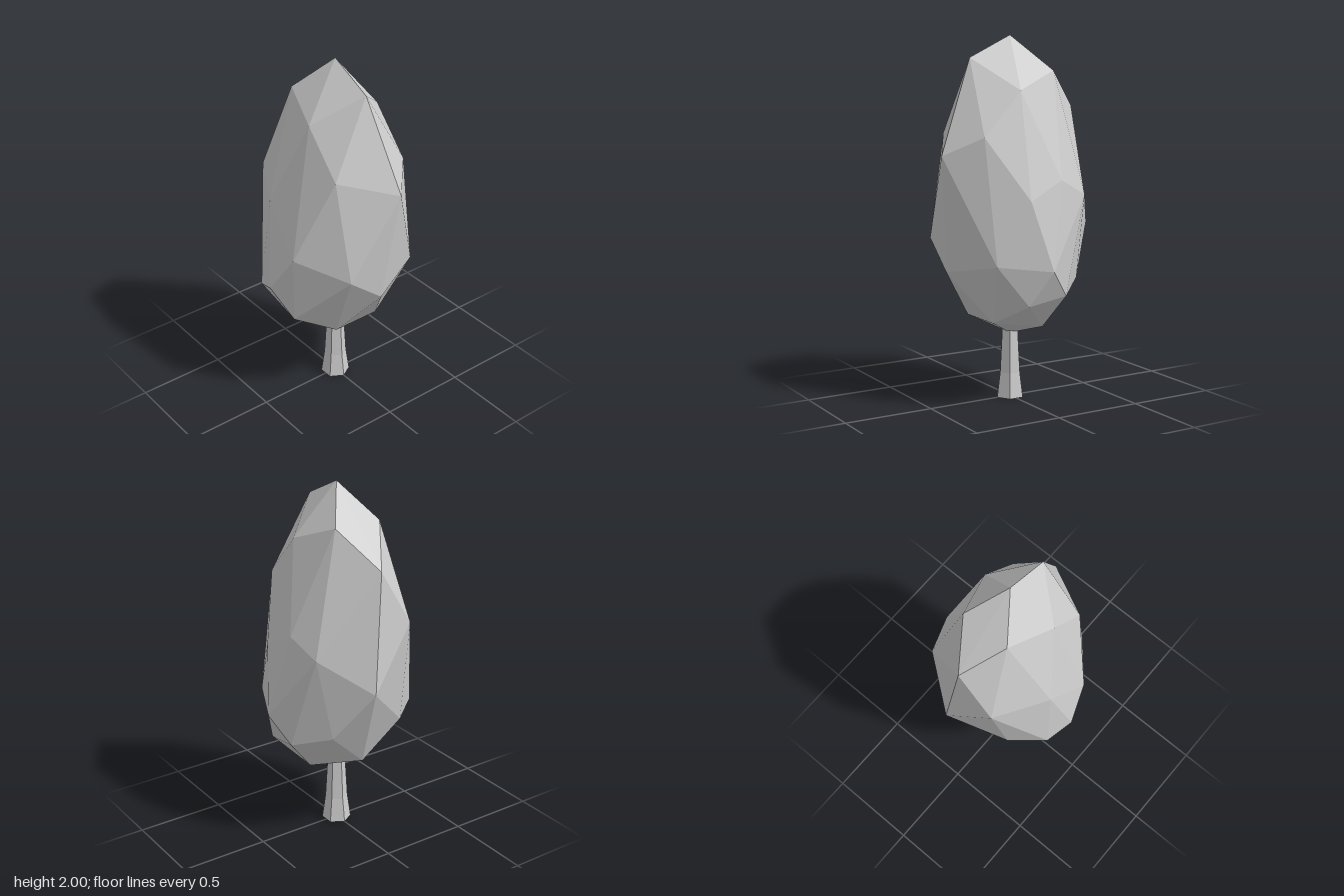
import * as THREE from 'three';
import { ConvexGeometry } from 'three/addons/geometries/ConvexGeometry.js';

// Corners on the midplane or without a twin
const single = [
  [0, 2, 0], [0.25, 1.88, 0], [-0.4, 1.61, 0],            // tip and upper ridge
  [0.46, 1.37, -0.07], [0.15, 1.0, 0.4], [-0.39, 1.29, 0.2],
  [-0.275, 1.15, -0.32], [0.1, 1.14, -0.38],              // upper belt
  [-0.46, 0.96, -0.07], [-0.15, 0.7, 0.4], [0.39, 0.9, 0.2],
  [0.27, 0.8, -0.32], [-0.12, 0.62, -0.38],               // lower belt
  [0.4, 0.74, 0], [-0.25, 0.47, 0], [0, 0.36, 0],         // lower ridge and base
];

// Corners repeated on both sides of z = 0
const mirrored = [
  [0.07, 1.71, 0.225], [-0.19, 1.81, 0.14],               // ring below the tip
  [0.29, 1.47, 0.225], [-0.1, 1.24, 0.362],               // shoulders
  [0, 0.77, 0.447],                                       // widest points
  [0.1, 0.58, 0.362], [-0.29, 0.68, 0.225],               // underside
  [0.19, 0.46, 0.14], [-0.07, 0.43, 0.225],               // ring above the base
];

export function createModel() {
  const group = new THREE.Group();
  group.name = 'tree';
  const material = new THREE.MeshStandardMaterial({ color: 0xcccccc, flatShading: true });

  // Faceted crown: hull of the irregular corners
  const corners = single.map((p) => new THREE.Vector3(...p));
  for (const [x, y, z] of mirrored) {
    corners.push(new THREE.Vector3(x, y, z), new THREE.Vector3(x, y, -z));
  }
  const crown = new THREE.Mesh(new ConvexGeometry(corners), material);
  crown.name = 'crown';
  group.add(crown);

  // Six-sided trunk flaring at the foot, closed below
  const profile = [[0, 0], [0.082, 0], [0.063, 0.14], [0.049, 0.39]]
    .map(([r, y]) => new THREE.Vector2(r, y));
  const trunk = new THREE.Mesh(new THREE.LatheGeometry(profile, 6, Math.PI / 2), material);
  trunk.name = 'trunk';
  group.add(trunk);

  return group;
}
